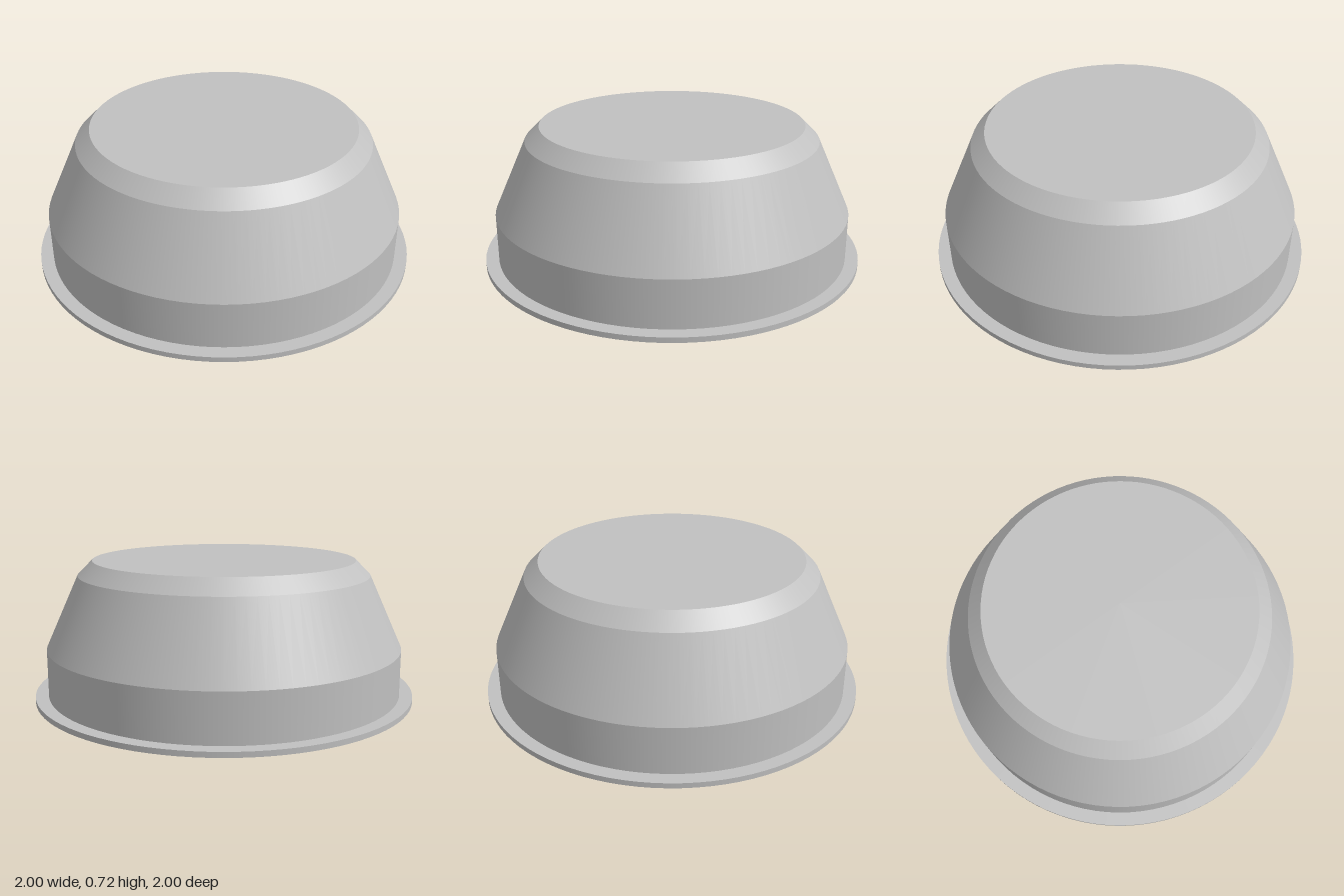
import * as THREE from 'three';

const SIDES = 96;

export function createModel() {
  const model = new THREE.Group();
  model.name = 'domedCap';
  const grey = new THREE.MeshStandardMaterial({ color: 0xc0c0c0 });
  grey.name = 'grey';

  // One ring of the body: smooth around, sharp where it meets its neighbours
  const addBand = (name, rBottom, rTop, y0, y1, open = true) => {
    const geometry = new THREE.CylinderGeometry(rTop, rBottom, y1 - y0, SIDES, 1, open);
    const mesh = new THREE.Mesh(geometry, grey);
    mesh.name = name;
    mesh.position.y = (y0 + y1) / 2;
    model.add(mesh);
  };

  // Thin base flange, closed top and bottom
  addBand('baseFlange', 1, 1, 0, 0.027, false);
  // Body bands from the base upwards
  addBand('straightWall', 0.933, 0.933, 0.027, 0.27);
  addBand('slopedWall', 0.933, 0.763, 0.27, 0.645);
  addBand('topChamfer', 0.763, 0.687, 0.645, 0.72);

  // Flat top
  const top = new THREE.Mesh(new THREE.CircleGeometry(0.687, SIDES), grey);
  top.name = 'topFace';
  top.rotation.x = -Math.PI / 2;
  top.position.y = 0.72;
  model.add(top);

  return model;
}
